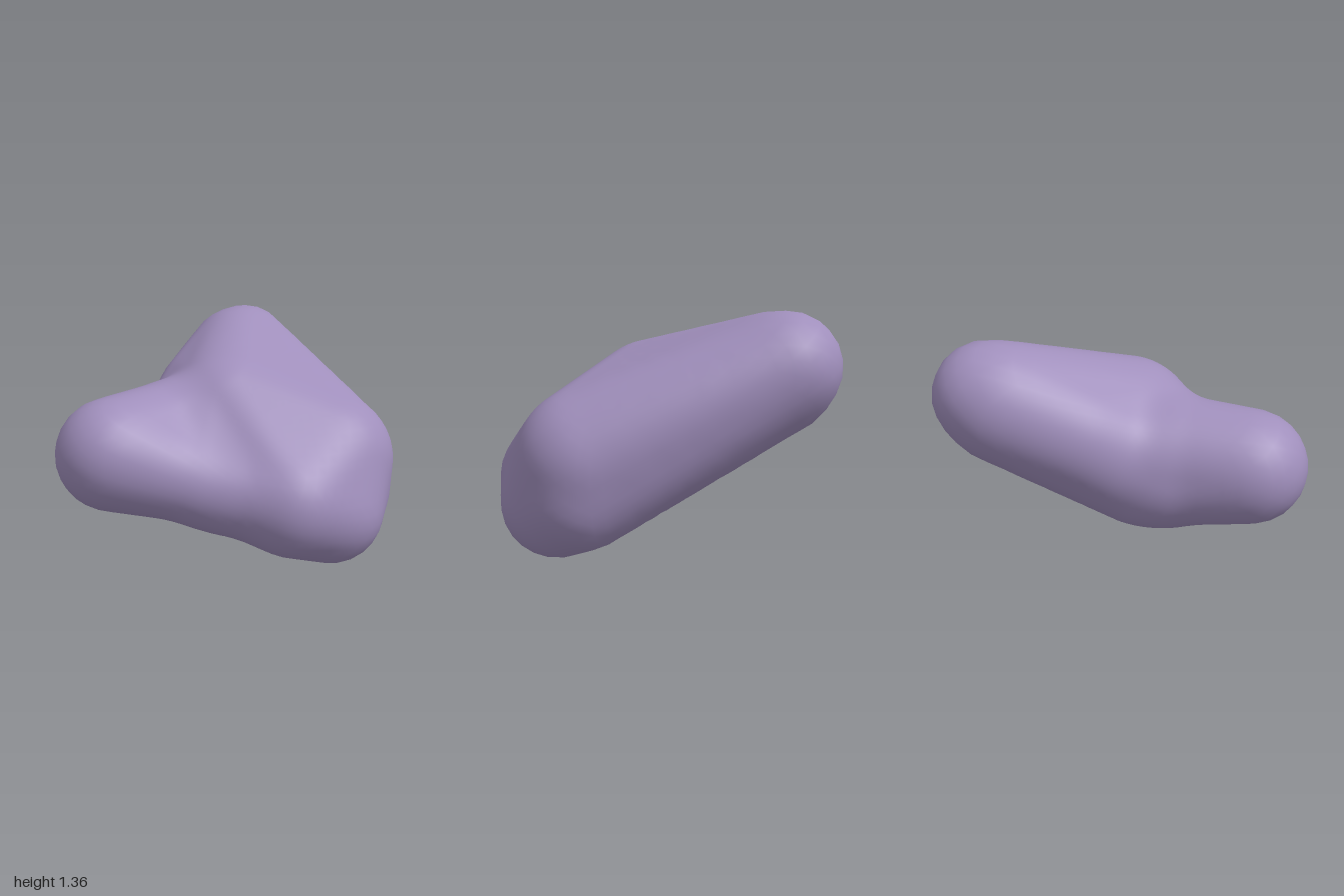
import * as THREE from 'three';
import { mergeVertices } from 'three/addons/utils/BufferGeometryUtils.js';

// Guide spheres [x, y, z, radius]
const WEB = [0.22, 0.47, 0.26, 0.215]; // web between front and side lobes
const BODY = [
  [-0.59, 1.06, -0.70, 0.30],  // raised back lobe: tip
  [-0.56, 1.02, -0.63, 0.335], // raised back lobe: root
  [0.58, 0.31, -0.30, 0.31],   // low side lobe: outer corner
  [0.44, 0.57, -0.42, 0.385],  // low side lobe: top
  [0.53, 0.40, -0.05, 0.32],   // low side lobe: front
  [0.48, 0.40, -0.44, 0.33],   // low side lobe: back
  [-0.20, 0.62, 0.05, 0.37],   // middle, underside
  [-0.05, 0.75, -0.10, 0.42],  // middle, top
  [-0.42, 0.83, -0.24, 0.32],  // middle, right flank
  WEB,
];
const ARM = [
  [-0.165, 0.66, 0.68, 0.32],  // front lobe tip
  [-0.18, 0.68, 0.30, 0.335],  // front lobe root, top
  [-0.20, 0.60, 0.28, 0.32],   // front lobe root, underside
  WEB,
];

// Fill the hull of a set of spheres by blending every three of them
function fillHull(spheres, n = 14) {
  const out = [];
  for (let a = 0; a < spheres.length; a++)
    for (let b = a + 1; b < spheres.length; b++)
      for (let c = b + 1; c < spheres.length; c++)
        for (let i = 0; i <= n; i++)
          for (let j = 0; j <= n - i; j++)
            for (let k = 0; k < 4; k++)
              out.push((spheres[a][k] * i + spheres[b][k] * j + spheres[c][k] * (n - i - j)) / n);
  return Float64Array.from(out);
}

function distance(hull, x, y, z) {
  let best = Infinity;
  for (let i = 0; i < hull.length; i += 4) {
    const dx = x - hull[i], dy = y - hull[i + 1], dz = z - hull[i + 2];
    const d = Math.sqrt(dx * dx + dy * dy + dz * dz) - hull[i + 3];
    if (d < best) best = d;
  }
  return best;
}

// Soft union, giving the rounded valleys where the arm meets the body
function softMin(a, b, k) {
  const h = Math.max(k - Math.abs(a - b), 0) / k;
  return Math.min(a, b) - h * h * k * 0.25;
}

export function createModel() {
  const group = new THREE.Group();
  group.name = 'smoothThreeLobedStone';
  const mauve = new THREE.MeshStandardMaterial({ color: 0xa08fbc });
  mauve.name = 'mauve';

  const body = fillHull(BODY), arm = fillHull(ARM);
  const centre = new THREE.Vector3(-0.05, 0.65, -0.05);

  // Shrink a fine ball along its rays until it meets the blended lobes
  let geometry = new THREE.IcosahedronGeometry(1, 16);
  geometry.deleteAttribute('uv');
  geometry.deleteAttribute('normal');
  geometry = mergeVertices(geometry, 1e-4);
  const pos = geometry.attributes.position;
  const dir = new THREE.Vector3(), p = new THREE.Vector3();
  for (let i = 0; i < pos.count; i++) {
    dir.fromBufferAttribute(pos, i).normalize();
    let t = 1.4;
    for (let step = 0; step < 30; step++) {
      p.copy(centre).addScaledVector(dir, t);
      const d = softMin(distance(body, p.x, p.y, p.z), distance(arm, p.x, p.y, p.z), 0.14);
      t -= d;
      if (d < 0.001) break;
    }
    p.copy(centre).addScaledVector(dir, t);
    pos.setXYZ(i, p.x, p.y, p.z);
  }
  geometry.computeVertexNormals();

  const stone = new THREE.Mesh(geometry, mauve);
  stone.name = 'stoneBody';
  group.add(stone);
  return group;
}
